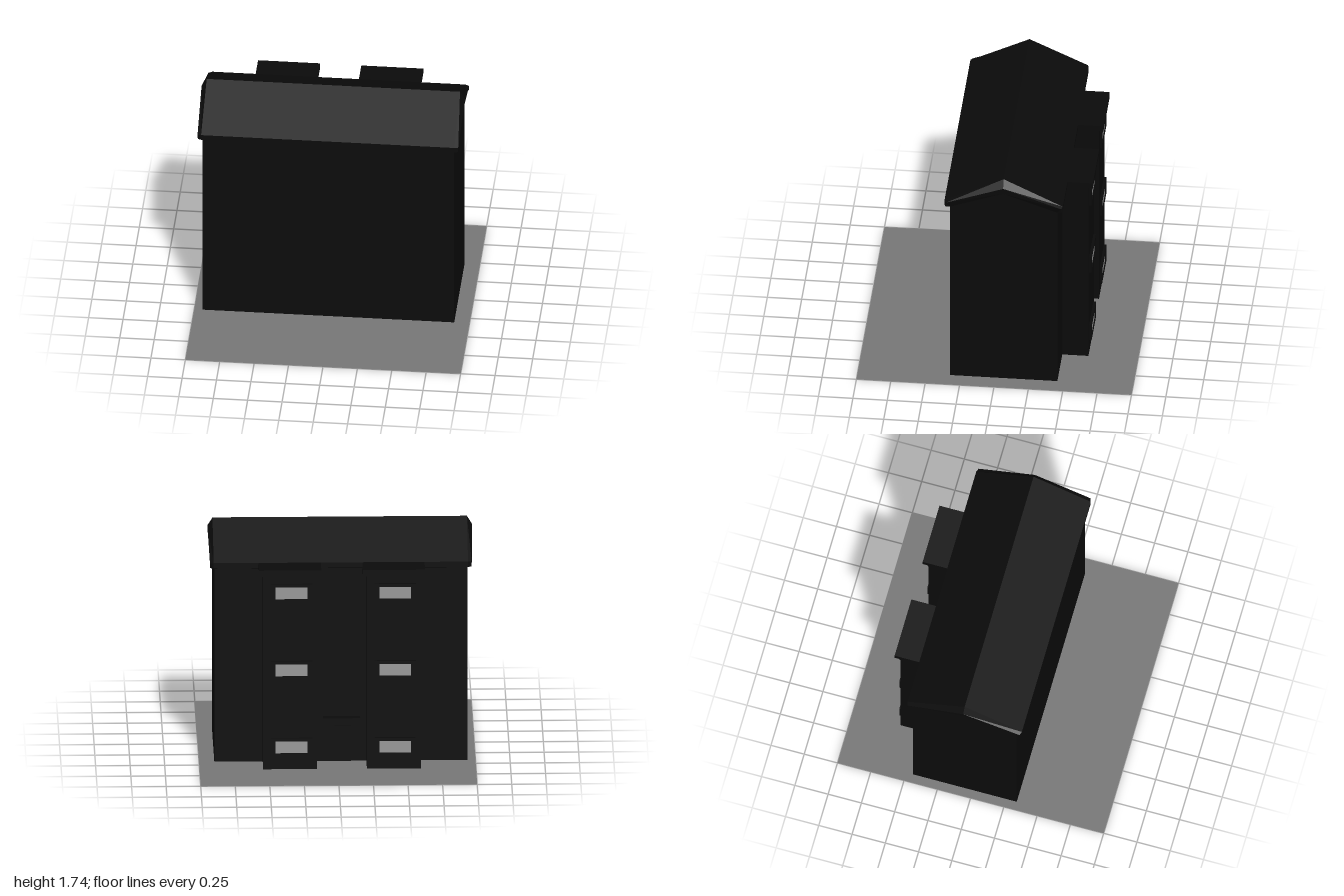
import * as THREE from 'three';

const dark = new THREE.MeshStandardMaterial({ color: 0x0b0b0b });
const pane = new THREE.MeshStandardMaterial({ color: 0x999999 });
const paving = new THREE.MeshStandardMaterial({ color: 0x777777, side: THREE.DoubleSide });

const CX = -0.025; // middle of the house along x
const RIDGE_Z = -0.06;

function add(parent, name, geometry, material) {
  const mesh = new THREE.Mesh(geometry, material);
  mesh.name = name;
  parent.add(mesh);
  return mesh;
}

// Box given by its limits on each axis
function box(parent, name, [x0, x1], [y0, y1], [z0, z1], material = dark) {
  const mesh = add(parent, name, new THREE.BoxGeometry(x1 - x0, y1 - y0, z1 - z0), material);
  mesh.position.set((x0 + x1) / 2, (y0 + y1) / 2, (z0 + z1) / 2);
  return mesh;
}

// Walls with pointed gables, extruded along x
function wallGeometry() {
  const shape = new THREE.Shape([
    [-0.45, 0.01], [0.33, 0.01], [0.33, 1.49], [RIDGE_Z, 1.645], [-0.45, 1.49],
  ].map(([z, y]) => new THREE.Vector2(z, y)));
  const geometry = new THREE.ExtrudeGeometry(shape, { depth: 1.83, bevelEnabled: false });
  return geometry.rotateY(-Math.PI / 2).translate(CX + 0.915, 0, 0);
}

// Roof slab: an inverted V lofted along x, with bevelled gable ends
function roofGeometry() {
  // half section rows: [half length, y, distance from the ridge plane]
  const inner = [[0.92, 1.74, 0], [0.92, 1.53, 0.43], [0.92, 1.49, 0.43], [0.9, 1.475, 0.39], [0.92, 1.635, 0]];
  const outer = [[0.957, 1.68, 0], [0.947, 1.525, 0.42], [0.945, 1.49, 0.42], [0.92, 1.475, 0.39], [0.953, 1.635, 0]];
  const ring = (half, side) => [0, 1, 2, 3, 4, -3, -2, -1].map((i) => {
    const [x, y, d] = half[Math.abs(i)];
    return [CX + side * x, y, RIDGE_Z + (i < 0 ? -d : d)];
  });
  const rings = [ring(outer, -1), ring(inner, -1), ring(inner, 1), ring(outer, 1)];
  const n = 8;
  const index = [];
  for (let r = 0; r < rings.length - 1; r++) {
    for (let j = 0; j < n; j++) {
      const k = (j + 1) % n;
      const a = r * n + j, b = r * n + k, c = a + n, d = b + n;
      index.push(a, b, d, a, d, c);
    }
  }
  const last = (rings.length - 1) * n;
  const caps = [[0, 1, 4], [1, 3, 4], [1, 2, 3], [0, 4, 7], [4, 5, 7], [5, 6, 7]];
  for (const [a, b, c] of caps) index.push(last + a, last + b, last + c, a, c, b);
  const geometry = new THREE.BufferGeometry();
  geometry.setAttribute('position', new THREE.Float32BufferAttribute(rings.flat(2), 3));
  geometry.setIndex(index);
  const flat = geometry.toNonIndexed();
  flat.computeVertexNormals();
  return flat;
}

// Window: a raised frame around a slightly recessed pane
function makeWindow(x, y) {
  const group = new THREE.Group();
  group.name = 'window';
  const w = 0.15, h = 0.068, pw = 0.115, ph = 0.045;
  const rect = (Type, a, b) => new Type([[-a, -b], [a, -b], [a, b], [-a, b]].map((p) => new THREE.Vector2(...p)));
  const shape = rect(THREE.Shape, w, h);
  shape.holes.push(rect(THREE.Path, pw, ph));
  const frame = new THREE.ExtrudeGeometry(shape, { depth: 0.02, bevelEnabled: false });
  add(group, 'windowFrame', frame, dark).position.z = -0.658;
  box(group, 'windowPane', [-pw, pw], [-ph, ph], [-0.652, -0.63], pane);
  group.position.set(x, y, 0);
  return group;
}

// Projecting bay on the back, with flat roof and three windows
function makeBay(x) {
  const bay = new THREE.Group();
  bay.name = 'bay';
  box(bay, 'bayWalls', [x - 0.195, x + 0.195], [0.01, 1.48], [-0.64, -0.4]);
  box(bay, 'bayRoof', [x - 0.225, x + 0.225], [1.487, 1.53], [-0.675, -0.4]);
  box(bay, 'baySoffit', [x - 0.205, x + 0.205], [1.475, 1.487], [-0.65, -0.4]);
  for (const y of [0.18, 0.765, 1.35]) bay.add(makeWindow(x - 0.01, y));
  return bay;
}

export function createModel() {
  const house = new THREE.Group();
  house.name = 'house';

  // Ground plate
  add(house, 'groundPlate', new THREE.PlaneGeometry(2, 2).rotateX(-Math.PI / 2), paving);

  add(house, 'walls', wallGeometry(), dark);
  add(house, 'roof', roofGeometry(), dark);

  for (const x of [-0.405, 0.345]) house.add(makeBay(x));

  // Back entrance between the bays
  box(house, 'door', [-0.1, 0.04], [0.01, 0.28], [-0.46, -0.44]);
  box(house, 'doorCanopy', [-0.165, 0.105], [0.32, 0.35], [-0.505, -0.44]);

  return house;
}
